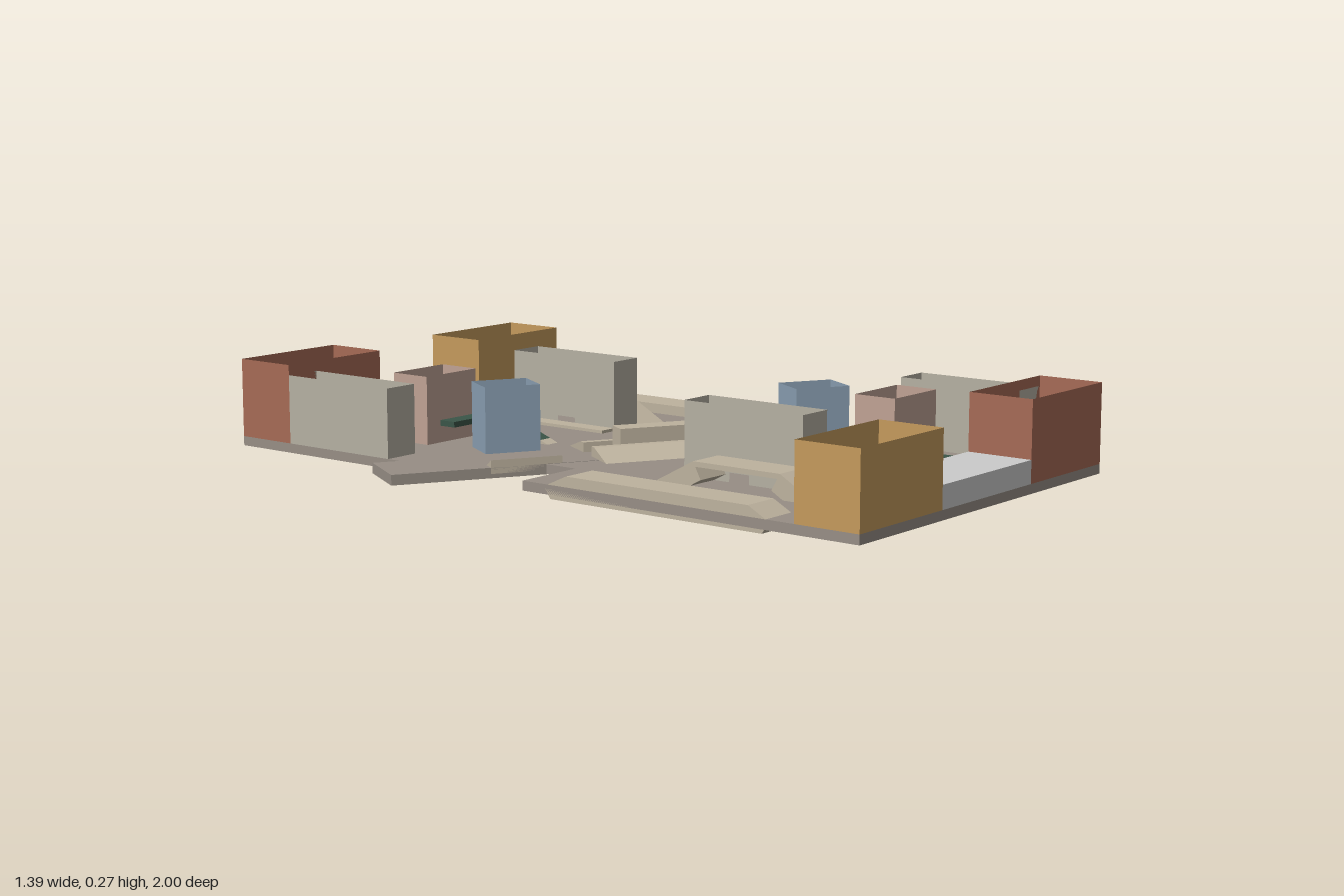
import * as THREE from 'three';

const FLOOR = 0x978e85, RAMP = 0xbdb29e, WALL = 0xb5b0a2, GREY = 0xcccccc;
const RED = 0xa56a55, YELLOW = 0xc49a5c, BLUE = 0x8ba0b3, PINK = 0xbfa294, GREEN = 0x3a5548;
const BASE = 0.04, TOP = 0.065;

function add(parent, name, geometry, color) {
  const material = new THREE.MeshStandardMaterial({ color, flatShading: true, side: THREE.DoubleSide });
  const mesh = new THREE.Mesh(geometry, material);
  mesh.name = name;
  parent.add(mesh);
  return mesh;
}

// Solid block from its extents
function block(parent, name, color, x0, x1, y0, y1, z0, z1) {
  const g = new THREE.BoxGeometry(x1 - x0, y1 - y0, z1 - z0);
  g.translate((x0 + x1) / 2, (y0 + y1) / 2, (z0 + z1) / 2);
  return add(parent, name, g, color);
}

// Four thin walls without lid or bottom; ends = true keeps only the two z walls
function walls(parent, name, color, x0, x1, y0, y1, z0, z1, ends = false) {
  const mesh = block(parent, name, color, x0, x1, y0, y1, z0, z1);
  const i = Array.from(mesh.geometry.index.array);
  mesh.geometry.setIndex([...(ends ? [] : i.slice(0, 12)), ...i.slice(24, 36)]);
  return mesh;
}

// Side profile of [z, y] points extruded along x
function prism(parent, name, color, x0, x1, points) {
  const shape = new THREE.Shape(points.map(([z, y]) => new THREE.Vector2(-z, y)));
  const g = new THREE.ExtrudeGeometry(shape, { depth: x1 - x0, bevelEnabled: false });
  g.rotateY(Math.PI / 2).translate(x0, 0, 0);
  return add(parent, name, g, color);
}

// Tilted slab whose upper face runs from (z0, y0) down to (z1, y1)
function slab(parent, name, color, x0, x1, z0, y0, z1, y1, t) {
  const len = Math.hypot(z1 - z0, y1 - y0);
  const s = Math.sign(z1 - z0);
  const nz = s * (y1 - y0) / len * t, ny = -Math.abs(z1 - z0) / len * t;
  return prism(parent, name, color, x0, x1,
    [[z0, y0], [z1, y1], [z1 + nz, y1 + ny], [z0 + nz, y0 + ny]]);
}

function buildHalf() {
  const half = new THREE.Group();

  // Ground plate
  const outline = [[-0.54, 0], [0.34, 0], [0.34, 0.19], [0.54, 0.3], [0.54, 1], [-0.54, 1]];
  const plate = new THREE.Shape(outline.map(([x, z]) => new THREE.Vector2(x, -z)));
  const plateGeo = new THREE.ExtrudeGeometry(plate, { depth: TOP - BASE, bevelEnabled: false });
  add(half, 'groundPlate', plateGeo.rotateX(-Math.PI / 2).translate(0, BASE, 0), FLOOR);

  // Corner houses and the raised platform between them
  walls(half, 'redHouse', RED, 0.2, 0.54, TOP, 0.275, 0.82, 1);
  walls(half, 'yellowHouse', YELLOW, -0.54, -0.2, TOP, 0.26, 0.82, 1);
  block(half, 'platform', GREY, -0.2, 0.2, TOP, 0.125, 0.82, 1);
  slab(half, 'platformRamp', RAMP, -0.05, 0.05, 0.82, 0.125, 0.67, 0.045, 0.05);
  slab(half, 'narrowPlatformRamp', RAMP, -0.19, -0.13, 0.82, 0.125, 0.67, 0.045, 0.05);

  // Walled tower with a passage through both long sides
  walls(half, 'towerEnds', WALL, -0.24, -0.14, TOP, 0.255, 0.27, 0.63, true);
  for (const x of [-0.24, -0.14]) {
    const side = new THREE.Shape([[0.27, TOP], [0.41, TOP], [0.41, 0.12], [0.47, 0.12],
      [0.47, TOP], [0.63, TOP], [0.63, 0.255], [0.27, 0.255]]
      .map(([z, y]) => new THREE.Vector2(-z, y)));
    add(half, 'towerSide', new THREE.ShapeGeometry(side).rotateY(Math.PI / 2).translate(x, 0, 0), WALL);
  }
  block(half, 'towerDeck', GREY, -0.239, -0.141, 0.12, 0.13, 0.271, 0.629);
  block(half, 'towerStep', RAMP, -0.14, -0.09, TOP, 0.073, 0.27, 0.63);

  // Footbridge beside the tower
  block(half, 'footbridgeDeck', RAMP, -0.34, -0.24, 0.115, 0.128, 0.375, 0.635);
  slab(half, 'footbridgeRamp', RAMP, -0.34, -0.24, 0.635, 0.128, 0.78, 0.045, 0.05);
  slab(half, 'footbridgeRamp', RAMP, -0.34, -0.24, 0.375, 0.128, 0.22, 0.045, 0.05);

  // Long raised bank at the outer edge
  prism(half, 'sideBank', RAMP, -0.54, -0.44,
    [[0.07, 0.06], [0.14, 0.092], [0.69, 0.092], [0.75, 0.06], [0.73, 0.03], [0.09, 0.03]]);

  // Side house, inner house and blue turned tower
  walls(half, 'sideHouse', WALL, 0.44, 0.54, TOP, 0.248, 0.46, 0.82);
  block(half, 'sideHouseDeck', RAMP, 0.441, 0.539, 0.12, 0.13, 0.461, 0.819);
  walls(half, 'innerHouse', PINK, 0.14, 0.33, TOP, 0.247, 0.52, 0.64);
  const blue = walls(half, 'blueTower', BLUE, -0.075, 0.075, TOP, 0.24, -0.0575, 0.0575);
  blue.position.set(0.24, 0, 0.322);
  blue.rotation.y = -Math.PI / 6;

  // Green walkway with side branch and ramp
  block(half, 'walkway', GREEN, 0.09, 0.13, 0.11, 0.125, 0.44, 0.82);
  block(half, 'walkwayBranch', GREEN, 0.13, 0.28, 0.11, 0.125, 0.47, 0.52);
  slab(half, 'walkwayRamp', GREEN, 0.09, 0.13, 0.44, 0.125, 0.3, 0.075, 0.015);
  slab(half, 'walkwayFoot', RAMP, 0.09, 0.13, 0.3, 0.075, 0.27, 0.063, 0.015);

  // Half of the diagonal road, turned 30 degrees
  const road = new THREE.Group();
  road.name = 'diagonalRoad';
  road.rotation.y = -Math.PI / 6;
  block(road, 'roadSlab', FLOOR, 0, 0.75, BASE - 0.001, TOP + 0.001, -0.0875, 0.0875);
  prism(road, 'roadCurb', RAMP, 0.3, 0.49, [[-0.0875, 0.05], [-0.0875, 0.085], [-0.05, 0.066], [-0.05, 0.05]]);
  prism(road, 'centreRamp', RAMP, -0.2, 0.2, [[0.155, 0.06], [0.05, 0.092], [0.03, 0.092], [0.03, 0.05], [0.14, 0.035]]);
  half.add(road);
  return half;
}

export function createModel() {
  const model = new THREE.Group();
  model.name = 'arena';

  // Two identical halves, one turned half way round
  for (const [name, angle] of [['frontHalf', 0], ['backHalf', Math.PI]]) {
    const half = buildHalf();
    half.name = name;
    half.rotation.y = angle;
    model.add(half);
  }

  // Centre block on the crossing
  const centre = block(model, 'centreBlock', RAMP, -0.12, 0.12, TOP, 0.132, -0.03, 0.03);
  centre.rotation.y = -Math.PI / 6;
  return model;
}
